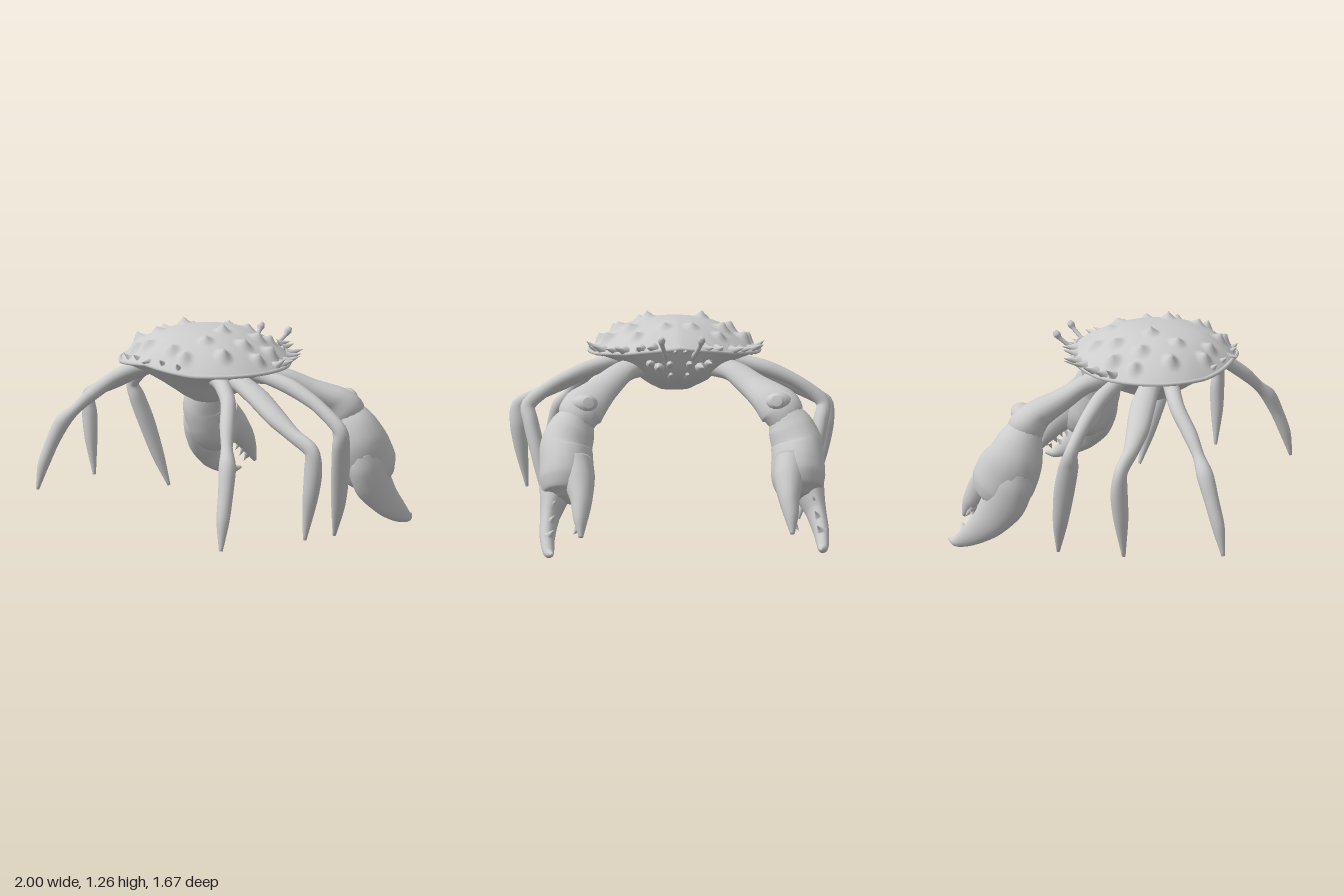
import * as THREE from 'three';

const shell = new THREE.MeshStandardMaterial({ color: 0xcccccc });
shell.name = 'shellGrey';
const V = (x, y, z) => new THREE.Vector3(x, y, z);

function part(name, geometry, parent) {
  const mesh = new THREE.Mesh(geometry, shell);
  mesh.name = name;
  parent.add(mesh);
  return mesh;
}

// Skin a list of closed rings that run counter-clockwise about the lofting direction
function loft(rings) {
  const n = rings[0].length, pos = [], index = [];
  rings.forEach(r => r.forEach(p => pos.push(p.x, p.y, p.z)));
  for (let i = 0; i < rings.length - 1; i++) {
    for (let j = 0; j < n; j++) {
      const a = i * n + j, b = i * n + (j + 1) % n;
      index.push(a, b, a + n, b, b + n, a + n);
    }
  }
  const g = new THREE.BufferGeometry();
  g.setAttribute('position', new THREE.Float32BufferAttribute(pos, 3));
  g.setIndex(index);
  g.computeVertexNormals();
  return g;
}

// Tapered limb through [x, y, z, radius along ref, radius across]
function limb(points, side, ref, steps = 36, n = 16) {
  const curve = new THREE.CatmullRomCurve3(points.map(p => V(p[0] * side, p[1], p[2])), false, 'catmullrom', 0.4);
  const size = new THREE.CatmullRomCurve3(points.map(p => V(p[3], p[4] ?? p[3], 0)), false, 'catmullrom', 0.4);
  const rings = [];
  for (let i = 0; i <= steps; i++) {
    const c = curve.getPoint(i / steps), t = curve.getTangent(i / steps), s = size.getPoint(i / steps);
    const a = ref.clone().addScaledVector(t, -ref.dot(t)).normalize();
    const b = t.clone().cross(a);
    const ring = k => Array.from({ length: n }, (_, j) => {
      const f = j / n * Math.PI * 2;
      return c.clone().addScaledVector(a, Math.cos(f) * s.x * k).addScaledVector(b, Math.sin(f) * s.y * k);
    });
    if (i === 0) rings.push(ring(0));
    rings.push(ring(1));
    if (i === steps) rings.push(ring(0));
  }
  return loft(rings);
}

// Thorn with a flared foot
function spine(name, base, tip, r, parent) {
  const d = tip.clone().sub(base), h = d.length();
  const profile = [[1.25, 0], [0.6, 0.3], [0.3, 0.7], [0, 1]].map(([x, y]) => new THREE.Vector2(x * r, y * h));
  const m = part(name, new THREE.LatheGeometry(profile, 8), parent);
  m.position.copy(base);
  m.quaternion.setFromUnitVectors(V(0, 1, 0), d.normalize());
}

// Rim height dips at the sides; the dome rises over it, more steeply at the back
const MID = 0.17;
const rimY = (x, z) => 1.025 + 0.035 * Math.max(0, 1 - Math.abs(x) / 0.3) + (z < 0 ? 0.02 * Math.min(1, -z / 0.25) : 0);
const domeY = (rim, t, z) => rim + (1.23 - rim) * (1 - Math.pow(t, z > MID ? 2.3 + Math.min(0.6, (z - MID) * 2) : 2.3));

// Knobs pulled out of the back: x, z, height, radius
const KNOBS = [[0.08, -0.08, 0.03, 0.055], [0.27, 0.03, 0.04, 0.06], [0.4, 0.06, 0.05, 0.06], [0.16, 0.2, 0.045, 0.055],
  [0.33, 0.2, 0.04, 0.06], [0.2, 0.37, 0.035, 0.055], [0.35, 0.38, 0.05, 0.055], [0.1, 0.53, 0.04, 0.05],
  [0.2, 0.53, 0.04, 0.05], [0.44, 0.2, 0.045, 0.05], [0.24, -0.1, 0.035, 0.05]];
function raiseKnobs(p) {
  let lift = 0;
  for (const [x, z, h, r] of KNOBS) {
    lift += h * Math.pow(Math.max(0, 1 - Math.hypot(Math.abs(p.x) - x, p.z - z) / r), 1.6);
  }
  return V(p.x * (1 + lift), p.y + lift, p.z + (p.z - MID) * lift);
}

function addBody(crab) {
  // Carapace outline, back to front along one side, then mirrored
  const half = [[0, 0.64], [0.2, 0.61], [0.35, 0.53], [0.45, 0.42], [0.5, 0.3], [0.51, 0.15],
    [0.47, 0], [0.38, -0.13], [0.27, -0.22], [0.17, -0.27], [0, -0.3]];
  const all = half.concat(half.slice(1, -1).reverse().map(([x, z]) => [-x, z]));
  const outline = new THREE.CatmullRomCurve3(all.map(([x, z]) => V(x, 0, z)), true).getPoints(200).slice(0, 200);
  const rim = outline.map(p => V(p.x, rimY(p.x, p.z), p.z));

  const top = [];
  for (let i = 0; i <= 48; i++) {
    const t = 1 - i / 48;
    top.push(rim.map(p => {
      const z = MID + (p.z - MID) * t;
      return raiseKnobs(V(p.x * t, domeY(p.y, t, z), z));
    }));
  }
  part('carapace', loft(top), crab);
  part('carapaceLip', new THREE.TubeGeometry(new THREE.CatmullRomCurve3(rim, true), 120, 0.011, 8, true), crab);

  // Underside sections: y, half width, front z, back z
  const levels = [[0.785, 0, 0.18, 0.18], [0.79, 0.09, 0.11, 0.25], [0.82, 0.15, 0.05, 0.3], [0.86, 0.2, -0.13, 0.36],
    [0.92, 0.26, -0.22, 0.45], [0.98, 0.37, -0.26, 0.54]];
  const under = levels.map(([y, w, z0, z1]) =>
    outline.map(p => V(p.x / 0.51 * w, y, z0 + (p.z + 0.3) / 0.94 * (z1 - z0))));
  part('belly', loft([...under, rim]), crab);
}

function addSpines(crab, side) {
  // Edge spines: base x, z and tip x, y, z
  const edge = [[0.15, -0.25, 0.19, 1.09, -0.33], [0.22, -0.22, 0.25, 1.09, -0.3], [0.31, -0.17, 0.37, 1.08, -0.25],
    [0.36, -0.12, 0.42, 1.07, -0.18], [0.43, -0.03, 0.5, 1.08, -0.08], [0.46, 0.03, 0.52, 1.07, 0.0],
    [0.47, 0.09, 0.53, 1.09, 0.07], [0.1, 0.59, 0.11, 1.1, 0.635], [0.2, 0.57, 0.22, 1.09, 0.61]];
  for (const [bx, bz, x, y, z] of edge) {
    spine('edgeSpine', V(bx * side, rimY(bx, bz) + 0.015, bz), V(x * side, y, z), 0.028, crab);
  }
  // Spines around the mouth
  for (const [x, y, z] of [[0.03, 1.07, -0.35], [0.06, 1.0, -0.34], [0.13, 0.98, -0.34], [0.05, 0.93, -0.28], [0.18, 1.0, -0.32]]) {
    spine('mouthSpine', V(x * side * 0.9, y - 0.01, z + 0.1), V(x * side, y, z), 0.025, crab);
  }
  // Eye on its stalk
  part('eyeStalk', limb([[0.07, 1.02, -0.24, 0.02], [0.09, 1.06, -0.31, 0.013], [0.108, 1.11, -0.37, 0.013],
    [0.112, 1.135, -0.39, 0.022], [0.115, 1.155, -0.405, 0.012]], side, V(1, 0, 0), 16, 10), crab);
}

function addLegs(crab, side) {
  const legs = {
    rearLeg: [[0.22, 0.98, 0.33, 0.05], [0.34, 0.965, 0.385, 0.045], [0.47, 0.895, 0.46, 0.042], [0.57, 0.79, 0.565, 0.04],
      [0.64, 0.7, 0.635, 0.032], [0.7, 0.62, 0.69, 0.046], [0.74, 0.5, 0.74, 0.04], [0.77, 0.36, 0.79, 0.034], [0.79, 0.21, 0.825, 0.01]],
    middleLeg: [[0.22, 0.97, 0.25, 0.06], [0.36, 0.955, 0.26, 0.06, 0.05], [0.52, 0.895, 0.275, 0.07, 0.05], [0.68, 0.815, 0.3, 0.062, 0.048],
      [0.82, 0.745, 0.31, 0.04], [0.94, 0.68, 0.3, 0.034, 0.045], [0.945, 0.56, 0.29, 0.045, 0.052], [0.93, 0.4, 0.295, 0.04], [0.9, 0.175, 0.3, 0.01]],
    frontLeg: [[0.22, 0.98, 0.1, 0.05], [0.36, 0.97, 0.08, 0.04], [0.54, 0.925, 0.04, 0.045], [0.72, 0.845, 0.015, 0.038],
      [0.87, 0.73, -0.005, 0.035, 0.042], [0.86, 0.63, -0.03, 0.055, 0.045], [0.82, 0.46, -0.075, 0.058, 0.045],
      [0.77, 0.25, -0.12, 0.042, 0.038], [0.71, 0.05, -0.16, 0.01]],
  };
  for (const [name, pts] of Object.entries(legs)) part(name, limb(pts, side, V(0, 0, 1), 48), crab);
}

function addClaw(crab, side) {
  const claw = new THREE.Group();
  claw.name = 'claw';
  crab.add(claw);
  const ref = V(1, 0, 0);
  part('clawArm', limb([[0.2, 0.96, 0, 0.07], [0.33, 0.925, -0.13, 0.075, 0.055], [0.43, 0.855, -0.235, 0.09, 0.065],
    [0.52, 0.79, -0.34, 0.12, 0.085], [0.57, 0.73, -0.39, 0.125, 0.105], [0.59, 0.66, -0.41, 0.09, 0.1]], side, ref), claw);
  part('elbowKnob', limb([[0.56, 0.74, -0.35, 0.1, 0.08], [0.545, 0.785, -0.42, 0.085, 0.06], [0.53, 0.8, -0.47, 0.055, 0.045],
    [0.525, 0.805, -0.49, 0.03]], side, ref, 16), claw);
  part('palm', limb([[0.58, 0.73, -0.4, 0.09, 0.09], [0.615, 0.65, -0.415, 0.13, 0.13], [0.65, 0.55, -0.44, 0.147, 0.165],
    [0.65, 0.46, -0.485, 0.15, 0.185], [0.647, 0.38, -0.53, 0.153, 0.18], [0.65, 0.31, -0.57, 0.125, 0.135],
    [0.655, 0.28, -0.59, 0.05, 0.06]], side, ref), claw);
  part('fixedFinger', limb([[0.7, 0.52, -0.41, 0.085, 0.1], [0.705, 0.42, -0.44, 0.097, 0.13], [0.715, 0.3, -0.49, 0.088, 0.13],
    [0.745, 0.185, -0.57, 0.055, 0.1], [0.758, 0.09, -0.68, 0.042, 0.065], [0.75, 0.033, -0.775, 0.03, 0.032],
    [0.73, 0.035, -0.835, 0.008]], side, ref), claw);
  part('movingFinger', limb([[0.6, 0.48, -0.55, 0.09, 0.11], [0.58, 0.39, -0.625, 0.085, 0.1], [0.57, 0.3, -0.705, 0.06, 0.075],
    [0.575, 0.21, -0.765, 0.04, 0.048], [0.575, 0.12, -0.81, 0.012]], side, ref), claw);
  // Teeth along the inner edges of both fingers
  for (let i = 0; i < 3; i++) {
    const k = i / 2;
    spine('fixedTooth', V((0.74 + 0.01 * k) * side, 0.24 - 0.13 * k, -0.61 - 0.11 * k),
      V((0.71 + 0.01 * k) * side, 0.29 - 0.14 * k, -0.64 - 0.11 * k), 0.025, claw);
    spine('movingTooth', V(0.575 * side, 0.27 - 0.09 * k, -0.675 - 0.07 * k),
      V(0.605 * side, 0.21 - 0.09 * k, -0.655 - 0.08 * k), 0.025, claw);
  }
  spine('fingerSpur', V(0.58 * side, 0.18, -0.75), V(0.615 * side, 0.13, -0.78), 0.03, claw);
}

export function createModel() {
  const crab = new THREE.Group();
  crab.name = 'crab';
  addBody(crab);
  spine('tailSpine', V(0, 1.07, 0.58), V(0, 1.075, 0.67), 0.04, crab);
  for (const side of [1, -1]) {
    addSpines(crab, side);
    addLegs(crab, side);
    addClaw(crab, side);
  }
  return crab;
}
